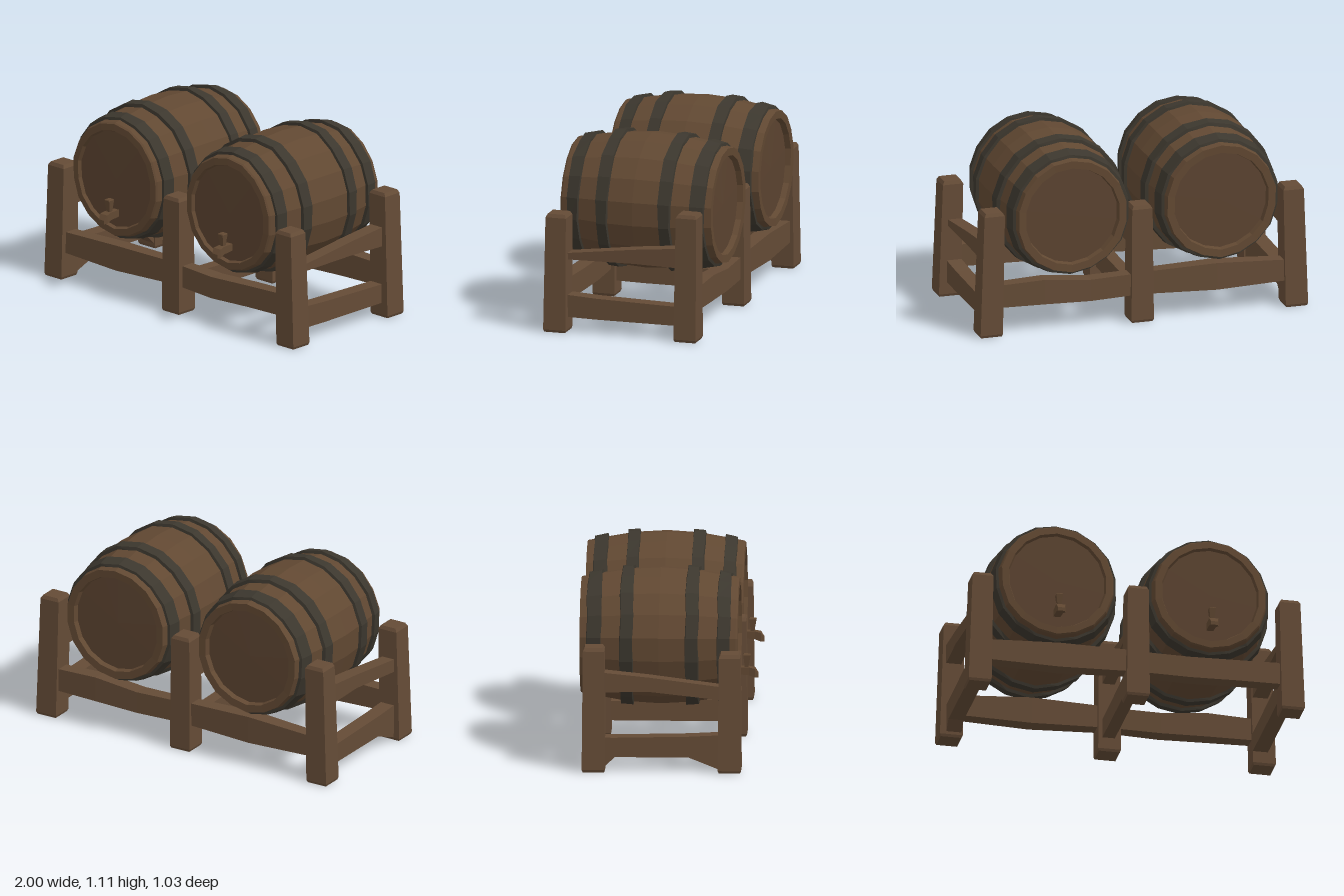
import * as THREE from 'three';

const mat = (name, color) => {
  const m = new THREE.MeshStandardMaterial({ color, flatShading: true });
  m.name = name;
  return m;
};

export function createModel() {
  const stave = mat('stave wood', 0x614832);
  const lidWood = mat('lid wood', 0x5b4330);
  const frame = mat('frame wood', 0x644b36);
  const iron = mat('dark iron', 0x3c372e);

  const model = new THREE.Group();
  model.name = 'barrelRack';

  // Small seeded noise in -1..1
  const noise = (i, seed) => {
    const s = Math.sin(i * 127.1 + seed * 311.7) * 43758.5453;
    return (s - Math.floor(s)) * 2 - 1;
  };

  const add = (parent, name, geo, material) => {
    geo.computeVertexNormals();
    const mesh = new THREE.Mesh(geo, material);
    mesh.name = name;
    parent.add(mesh);
    return mesh;
  };

  // Hewn timber: rectangles lofted along one axis (0 = x, 1 = y, 2 = z).
  // Each station is [position, lowA, highA, lowB, highB] for the other two axes in xyz order.
  const timber = (parent, name, axis, stations, material = frame) => {
    const n = stations.length - 1;
    const seg = [1, 1, 1];
    seg[axis] = n;
    const geo = new THREE.BoxGeometry(1, 1, 1, ...seg);
    const p = geo.attributes.position;
    const [a, b] = [0, 1, 2].filter((k) => k !== axis);
    for (let i = 0; i < p.count; i++) {
      const c = [p.getX(i), p.getY(i), p.getZ(i)];
      const s = stations[Math.round((c[axis] + 0.5) * n)];
      const out = [0, 0, 0];
      out[axis] = s[0];
      out[a] = c[a] < 0 ? s[1] : s[2];
      out[b] = c[b] < 0 ? s[3] : s[4];
      p.setXYZ(i, ...out);
    }
    return add(parent, name, geo, material);
  };

  // Posts: slightly tapered, leaning inward, with worn top edges
  const post = (name, x, lean, z, height) => {
    const h = 0.068, t = 0.062, xt = x + lean;
    timber(model, name, 1, [
      [0, x - h + 0.006, x + h - 0.006, z - h + 0.006, z + h - 0.006],
      [0.015, x - h, x + h, z - h, z + h],
      [height - 0.02, xt - t, xt + t, z - t, z + t],
      [height, xt - t + 0.012, xt + t - 0.012, z - t + 0.01, z + t - 0.01],
    ]);
  };
  post('frontRightPost', -0.93, 0.018, 0.366, 0.7);
  post('frontMiddlePost', 0.01, 0, 0.366, 0.705);
  post('frontLeftPost', 0.93, -0.02, 0.37, 0.7);
  post('backRightPost', -0.93, 0.018, -0.424, 0.735);
  post('backMiddlePost', 0.01, 0, -0.424, 0.71);
  post('backLeftPost', 0.93, -0.02, -0.424, 0.755);

  // Long rails that carry the barrels at the front and back
  for (const [side, z] of [['front', 0.365], ['back', -0.425]]) {
    const rise = side === 'back' ? 0.02 : 0;
    timber(model, side + 'RightRail', 0, [
      [-0.9, 0.16, 0.285, z - 0.045, z + 0.035],
      [-0.45, 0.147, 0.3 + rise / 2, z - 0.05, z + 0.045],
      [0, 0.165, 0.3, z - 0.045, z + 0.035],
    ]);
    timber(model, side + 'LeftRail', 0, [
      [0.02, 0.165, 0.295, z - 0.045, z + 0.035],
      [0.32, 0.155, 0.285, z - 0.045, z + 0.048],
      [0.6, 0.165, 0.295 + rise, z - 0.05, z + 0.04],
      [0.9, 0.17, 0.305, z - 0.045, z + 0.035],
    ]);
  }

  // Lower and upper cross rails at the three rows of posts
  for (const [row, x, w] of [['right', -0.915, 0.045], ['middle', 0.004, 0.037], ['left', 0.905, 0.045]]) {
    const flare = row === 'right' ? 0.075 : 0;
    timber(model, row + 'LowerRail', 2, [
      [-0.38, x - w, x + w, 0.085 - flare, 0.2],
      [-0.3, x - w, x + w, 0.085, 0.2],
      [0.13, x - w, x + w, 0.085, 0.21],
      [0.31, x - w, x + w, 0.088 - flare, 0.22],
    ]);
    const lift = row === 'right' ? 0.04 : 0;
    timber(model, row + 'UpperRail', 2, [
      [-0.38, x - w, x + w, 0.43 + lift, 0.548 + lift],
      [-0.1, x - w, x + w * 0.9, 0.435 + lift, 0.52 + lift],
      [0.31, x - w, x + w * 0.8, 0.43, 0.468 + lift],
    ]);
  }

  // Lathe turned to lie along z, with uneven staves
  const SIDES = 18;
  const turned = (parent, name, profile, material, seed, wobble, edge = 0) => {
    const pts = profile.map(([r, z]) => new THREE.Vector2(r, z));
    const geo = new THREE.LatheGeometry(pts, SIDES);
    const p = geo.attributes.position;
    for (let i = 0; i < p.count; i++) {
      const k = Math.floor(i / pts.length) % SIDES;
      const f = 1 + noise(k, seed) * wobble;
      const shift = noise(k * 7 + (i % pts.length), seed + 3) * edge;
      p.setXYZ(i, p.getX(i) * f, p.getY(i) + shift, p.getZ(i) * f);
    }
    geo.rotateX(Math.PI / 2);
    return add(parent, name, geo, material);
  };

  const barrel = (name, x, seed) => {
    const g = new THREE.Group();
    g.name = name;
    g.position.set(x, 0.698, 0);
    model.add(g);

    const body = new THREE.Group();
    body.name = 'barrelBody';
    body.scale.x = 0.98;
    g.add(body);

    // Bulging staves with a rim turned in at both ends
    turned(body, 'staves', [
      [0.288, -0.475], [0.295, -0.51], [0.34, -0.512], [0.362, -0.4], [0.39, -0.24],
      [0.402, -0.05], [0.39, 0.14], [0.362, 0.3], [0.345, 0.395], [0.338, 0.405],
      [0.298, 0.408], [0.288, 0.385],
    ], stave, seed, 0.008);

    // Recessed end lids
    turned(body, 'frontLid', [[0.3, 0.387], [0, 0.39]], lidWood, seed, 0.005);
    turned(body, 'backLid', [[0, -0.48], [0.3, -0.477]], lidWood, seed, 0.005);

    // Iron hoops: [back z, front z, back radius, front radius]
    const hoops = [
      [-0.475, -0.385, 0.365, 0.382], [-0.28, -0.2, 0.404, 0.41],
      [0.1, 0.18, 0.41, 0.404], [0.285, 0.365, 0.382, 0.367],
    ];
    hoops.forEach(([z0, z1, r0, r1], i) => turned(body, 'hoop' + (i + 1), [
      [r0 - 0.035, z0], [r0, z0 + 0.006], [r1, z1 - 0.006], [r1 - 0.035, z1],
    ], iron, seed, 0.008, 0.005));

    // Wooden tap: pipe, downturned spout and flared handle
    const tap = new THREE.Group();
    tap.name = 'tap';
    tap.position.set(0, -0.698, 0);
    g.add(tap);
    timber(tap, 'tapPipe', 2, [
      [0.37, -0.02, 0.02, 0.475, 0.515],
      [0.46, -0.022, 0.022, 0.468, 0.515],
      [0.495, -0.028, 0.028, 0.456, 0.507],
      [0.515, -0.02, 0.02, 0.456, 0.478],
    ], stave);
    timber(tap, 'tapHandle', 1, [
      [0.505, -0.01, 0.01, 0.437, 0.456],
      [0.585, -0.02, 0.02, 0.428, 0.47],
      [0.59, -0.017, 0.017, 0.43, 0.467],
    ], stave);
  };
  barrel('rightBarrel', -0.465, 1);
  barrel('leftBarrel', 0.443, 5);

  return model;
}
